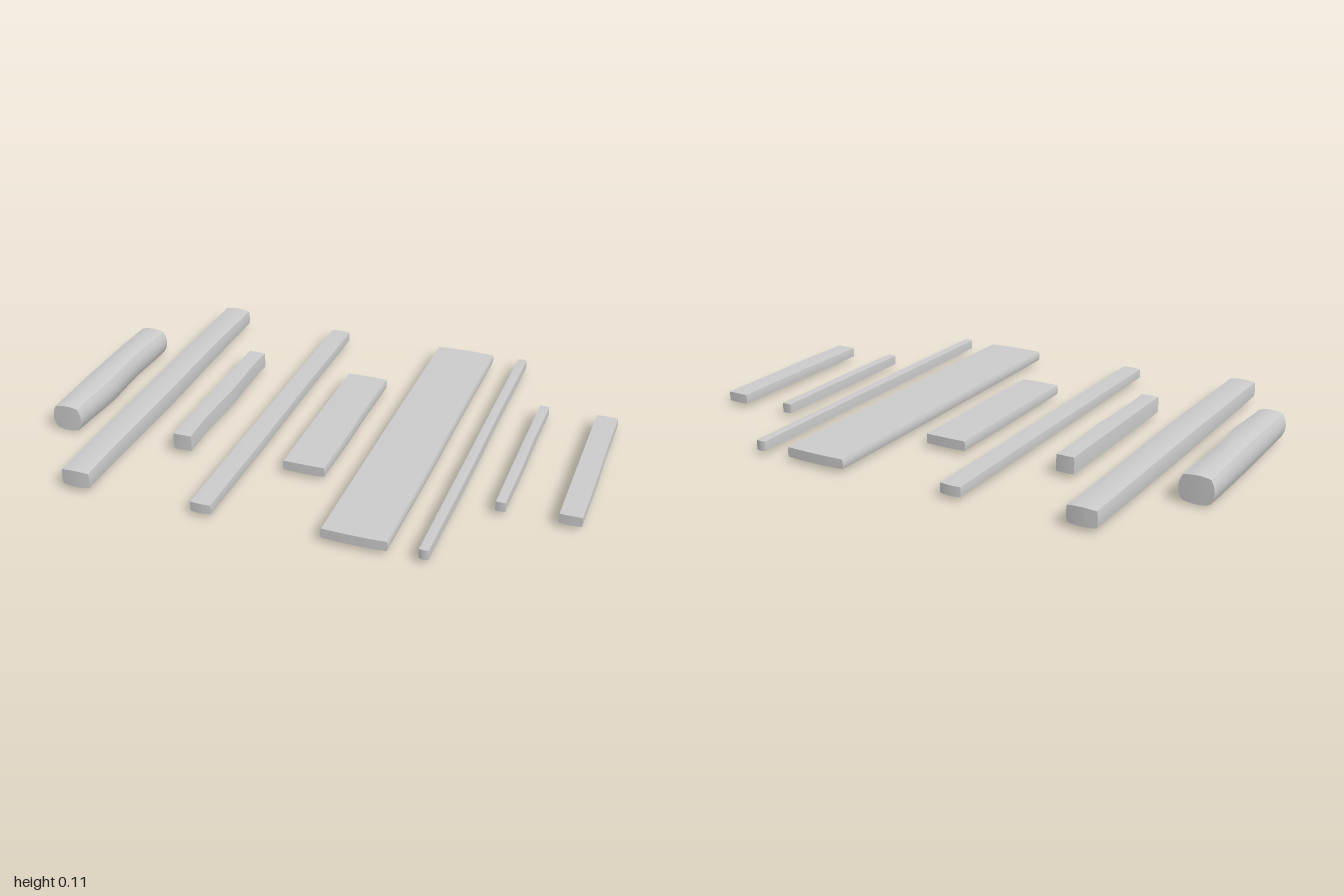
import * as THREE from 'three';

const material = new THREE.MeshStandardMaterial({ color: 0xcccccc });

// One hand-cut timber: a box whose sides swell, taper to the ends and wander slightly.
// x0..x1 and y0..y1 are the extents, half is the half length along z.
function timber({ name, x0, x1, y0, y1, half, round = 0.03, roundY = round, taper = 0.03, wave = 0.001, phase = 0 }) {
  const w = (x1 - x0) / 2, h = (y1 - y0) / 2;
  const geo = new THREE.BoxGeometry(2, 2, 2, 6, 6, 20);
  const p = geo.attributes.position;
  for (let i = 0; i < p.count; i++) {
    const u = p.getX(i), v = p.getY(i), t = p.getZ(i);
    const x = u * w * (1 - round * v * v) + (u > 0 ? wave * Math.sin(t * 5 + phase) * u : 0);
    const y = v * h * (1 - roundY * u * u) * (1 - taper * t * t);
    const z = t * half * (1 - 0.006 * u * u);
    p.setXYZ(i, x, y, z);
  }
  geo.computeVertexNormals();
  const mesh = new THREE.Mesh(geo, material);
  mesh.name = name;
  mesh.position.set((x0 + x1) / 2, (y0 + y1) / 2, 0);
  return mesh;
}

export function createModel() {
  const group = new THREE.Group();
  group.name = 'timberSet';
  const long = 0.707, short = 0.354;
  const low = { y0: 0.013, y1: 0.053, taper: 0.08 };

  const timbers = [
    // thick timbers
    { name: 'roundedLog', x0: -1, x1: -0.88, y0: 0, y1: 0.112, half: short, round: 0.22, roundY: 0.14, taper: 0.1, wave: 0.004 },
    { name: 'longBeam', x0: -0.76, x1: -0.653, y0: 0.01, y1: 0.086, half: long, round: 0.05, roundY: 0.13, taper: 0.14, wave: 0.002, phase: 1 },
    { name: 'shortBeam', x0: -0.502, x1: -0.433, y0: 0.014, y1: 0.08, half: short, taper: 0.05, wave: 0.003, phase: 2 },
    // thin boards and strips
    { name: 'longBatten', x0: -0.27, x1: -0.193, half: long, ...low },
    { name: 'shortBoard', x0: -0.073, x1: 0.086, half: short, ...low },
    { name: 'wideBoard', x0: 0.198, x1: 0.432, half: long, ...low },
    { name: 'longStrip', x0: 0.535, x1: 0.57, half: long, ...low },
    { name: 'shortStrip', x0: 0.7, x1: 0.736, half: short, ...low },
    { name: 'shortBatten', x0: 0.916, x1: 0.998, half: short, ...low },
  ];
  for (const t of timbers) group.add(timber(t));
  return group;
}
